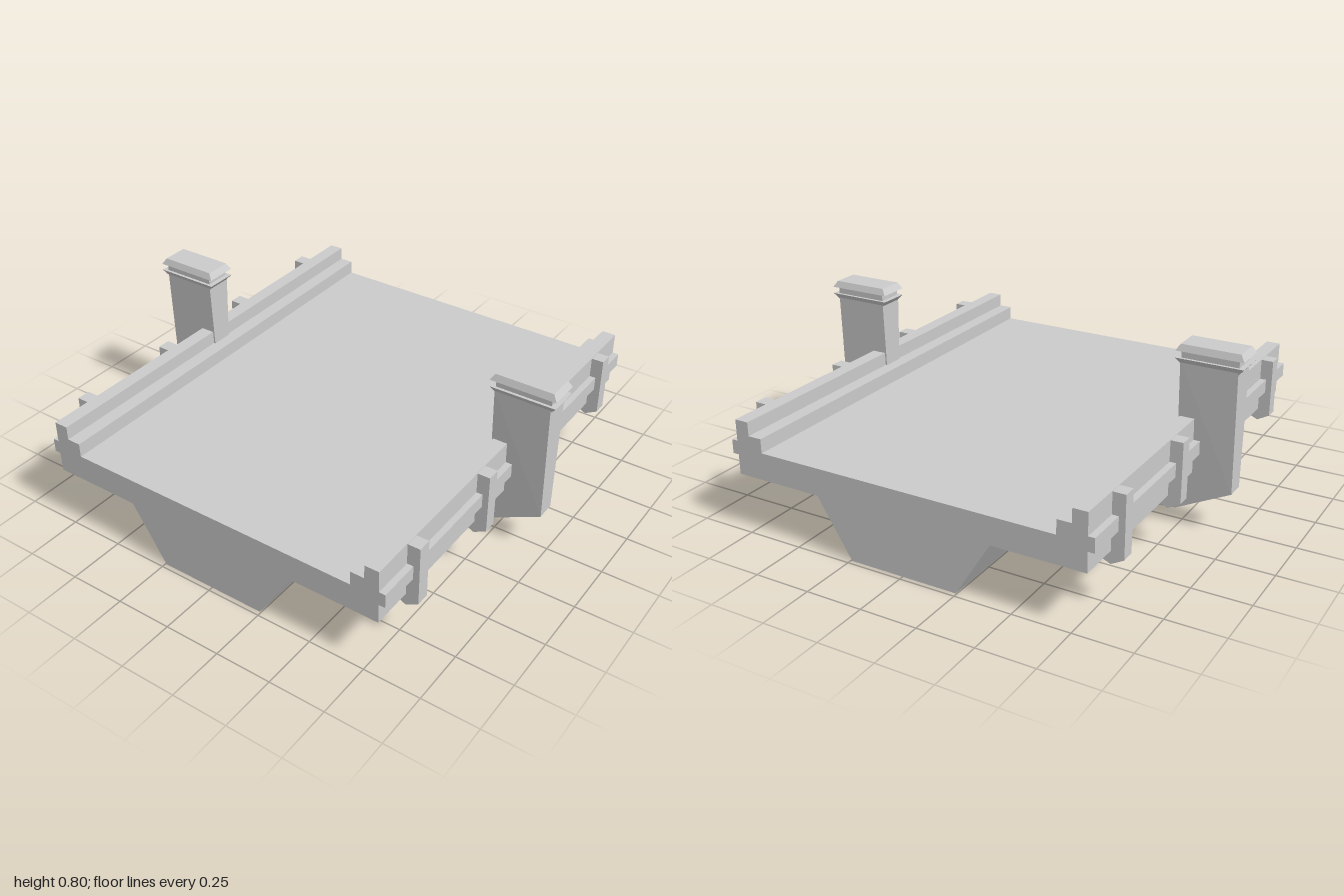
import * as THREE from 'three';
import { ConvexGeometry } from 'three/addons/geometries/ConvexGeometry.js';

const material = new THREE.MeshStandardMaterial({ color: 0xcccccc, flatShading: true });

function addMesh(parent, name, geometry) {
  const mesh = new THREE.Mesh(geometry, material);
  mesh.name = name;
  parent.add(mesh);
  return mesh;
}

// Extrudes an x/y outline along z, centred on the given z.
function extrude(points, depth, z = 0) {
  const shape = new THREE.Shape(points.map(([x, y]) => new THREE.Vector2(x, y)));
  const geometry = new THREE.ExtrudeGeometry(shape, { depth, bevelEnabled: false });
  return geometry.translate(0, 0, z - depth / 2);
}

// Convex block from [x, y, halfDepth] entries, mirrored across z = 0.
function block(entries) {
  return new ConvexGeometry(entries.flatMap(([x, y, h]) => [
    new THREE.Vector3(x, y, h), new THREE.Vector3(x, y, -h),
  ]));
}

// Tapered rectangular slab centred on the pillar axis.
function slab(x, y0, w0, h0, y1, w1, h1) {
  return block([[x - w0, y0, h0], [x + w0, y0, h0], [x - w1, y1, h1], [x + w1, y1, h1]]);
}

function createSide(name) {
  const side = new THREE.Group();
  side.name = name;

  // Tapered pillar with a sloping foot
  addMesh(side, 'pillar', block([
    [0.73, 0.73, 0.06], [0.975, 0.73, 0.06],
    [0.73, 0.065, 0.035], [0.975, 0.19, 0.043],
  ]));

  // Flared support beam running under the deck to the keel
  addMesh(side, 'supportBeam', block([
    [0.73, 0.25, 0.05], [0.73, 0.065, 0.035],
    [0.25, 0.25, 0.085], [0.25, 0.03, 0.055],
  ]));

  // Collar, neck and chamfered cap
  const cx = 0.855;
  addMesh(side, 'pillarCollar', slab(cx, 0.715, 0.12, 0.055, 0.745, 0.145, 0.07));
  addMesh(side, 'pillarNeck', slab(cx, 0.74, 0.122, 0.057, 0.78, 0.122, 0.057));
  addMesh(side, 'pillarCap', slab(cx, 0.775, 0.145, 0.07, 0.803, 0.127, 0.058));

  // Hooked brackets gripping the parapet
  const hook = [[0.78, 0.49], [0.855, 0.49], [0.855, 0.225], [0.8, 0.195],
    [0.735, 0.225], [0.72, 0.255], [0.78, 0.255]];
  for (const z of [-0.765, -0.258, 0.258, 0.765]) {
    addMesh(side, 'bracket', extrude(hook, 0.06, z));
  }
  return side;
}

export function createModel() {
  const model = new THREE.Group();
  model.name = 'bridgeSection';

  // Deck with keel, outer rails and stepped parapets
  const half = [[0.245, 0], [0.4, 0.25], [0.8, 0.25], [0.8, 0.337], [0.828, 0.337],
    [0.828, 0.398], [0.8, 0.398], [0.8, 0.492], [0.737, 0.492], [0.737, 0.432],
    [0.675, 0.432], [0.675, 0.37]];
  const mirrored = half.map(([x, y]) => [-x, y]).reverse();
  addMesh(model, 'deck', extrude([...half, ...mirrored], 1.96));

  const left = createSide('leftSide');
  const right = createSide('rightSide');
  right.rotation.y = Math.PI;
  model.add(left, right);
  return model;
}
